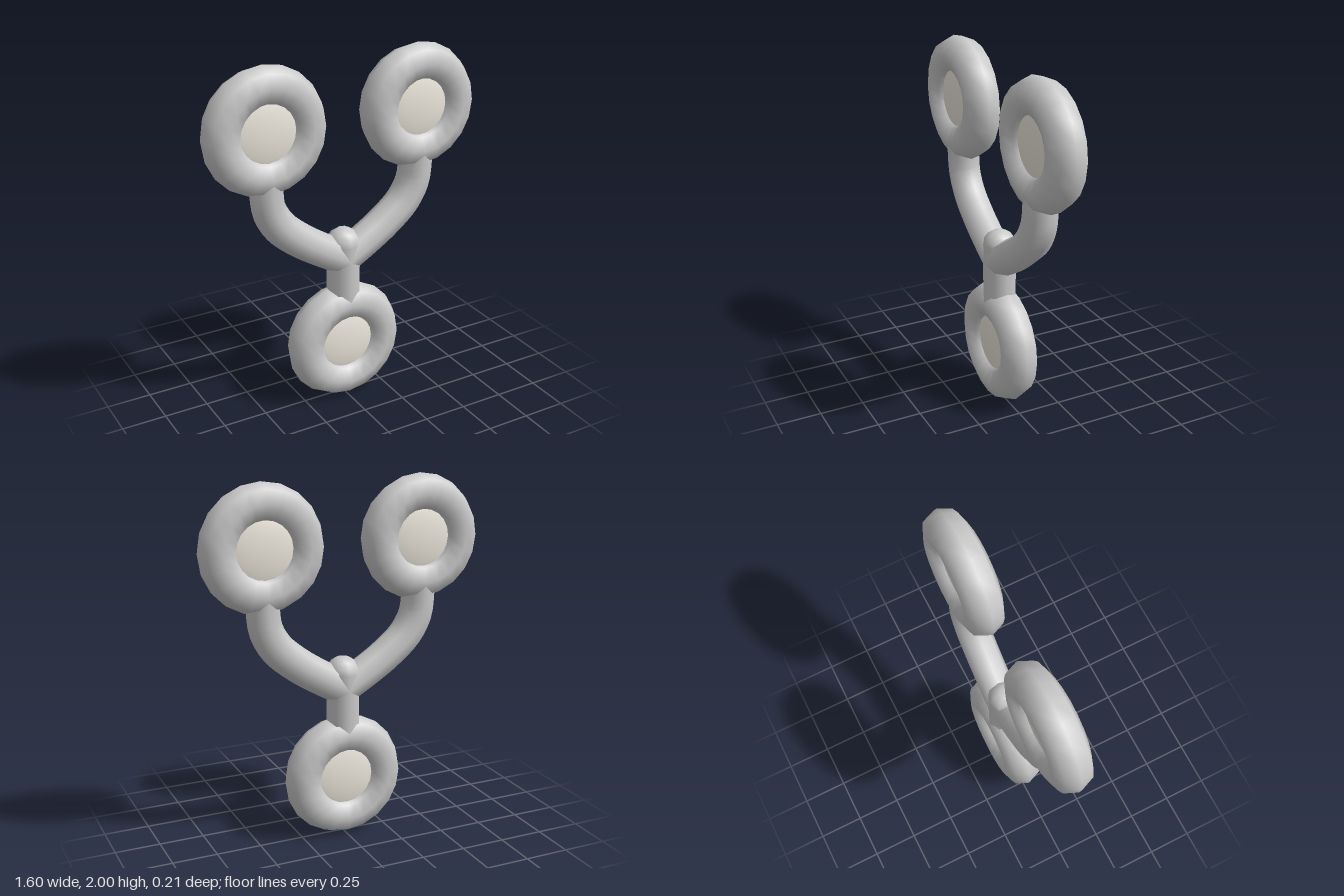
import * as THREE from 'three';

const RING_R = 0.24, RING_TUBE = 0.105, ROD = 0.095;

export function createModel() {
  const model = new THREE.Group();
  const grey = new THREE.MeshStandardMaterial({ color: 0xcccccc });
  const cream = new THREE.MeshStandardMaterial({ color: 0xf0ebe0 });

  const add = (parent, name, geometry, material, x = 0, y = 0) => {
    const mesh = new THREE.Mesh(geometry, material);
    mesh.name = name;
    mesh.position.set(x, y, 0);
    parent.add(mesh);
    return mesh;
  };

  // Three rings, each closed by a slightly domed lens
  const addRing = (name, x, y) => {
    const ring = new THREE.Group();
    ring.name = name;
    ring.position.set(x, y, 0);
    const torus = new THREE.TorusGeometry(RING_R, RING_TUBE, 8, 20);
    torus.rotateZ(Math.PI / 2);
    add(ring, 'ringBand', torus, grey);
    const lens = new THREE.SphereGeometry(0.26, 24, 16);
    lens.rotateX(Math.PI / 2);
    lens.scale(0.92, 0.92, 0.25);
    add(ring, 'ringLens', lens, cream);
    model.add(ring);
  };
  addRing('bottomRing', 0, 0.345);
  addRing('leftRing', 0.455, 1.655);
  addRing('rightRing', -0.455, 1.655);

  // Round-ended trunk from the bottom ring up to the fork
  const low = 0.585, high = 0.937;
  add(model, 'trunk', new THREE.CapsuleGeometry(ROD, high - low, 4, 8), grey, 0, (low + high) / 2);

  // Mirrored curved arms, rounded where they enter the upper rings
  for (const [name, s] of [['leftArm', 1], ['rightArm', -1]]) {
    const arm = new THREE.Group();
    arm.name = name;
    const path = new THREE.CatmullRomCurve3(
      [[0, 0.85], [0.13, 0.925], [0.26, 1.01], [0.38, 1.115], [0.44, 1.22], [0.455, 1.32], [0.455, 1.415]]
        .map(([x, y]) => new THREE.Vector3(s * x, y, 0)));
    add(arm, 'armRod', new THREE.TubeGeometry(path, 20, ROD, 8), grey);
    add(arm, 'armEnd', new THREE.SphereGeometry(ROD, 8, 8), grey, s * 0.455, 1.415);
    model.add(arm);
  }
  return model;
}
